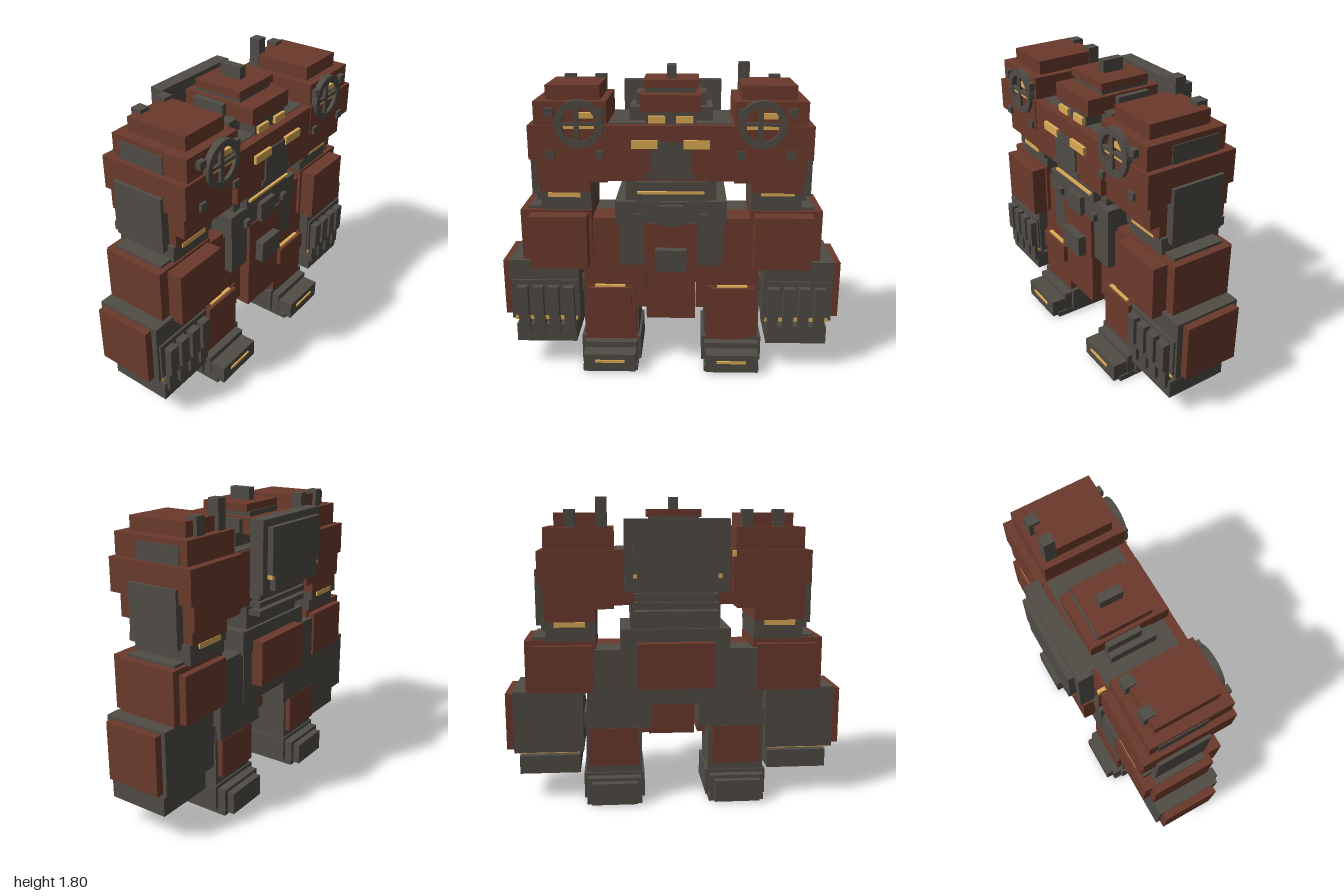
import * as THREE from 'three';

export function createModel() {
  const model = new THREE.Group();
  model.name = 'mech';
  const mat = (name, color) => {
    const m = new THREE.MeshStandardMaterial({ color });
    m.name = name;
    return m;
  };
  const red = mat('rust red', 0x6c3a2c);
  const grey = mat('gunmetal grey', 0x504c46);
  const amber = mat('amber', 0xdcaa54);

  // Box given by its low and high bounds on each axis
  function box(name, m, [x0, x1], [y0, y1], [z0, z1], parent = model) {
    const mesh = new THREE.Mesh(new THREE.BoxGeometry(x1 - x0, y1 - y0, z1 - z0), m);
    mesh.position.set((x0 + x1) / 2, (y0 + y1) / 2, (z0 + z1) / 2);
    mesh.name = name;
    parent.add(mesh);
    return mesh;
  }
  // Box centred on x = 0
  const mid = (name, m, w, y, z) => box(name, m, [-w, w], y, z);
  // Box on both sides, bounds given for +x
  const pair = (name, m, x, y, z) => {
    box(name + 'Left', m, x, y, z);
    box(name + 'Right', m, [-x[1], -x[0]], y, z);
  };

  // Feet
  pair('footSole', grey, [0.2, 0.53], [0, 0.035], [-0.225, 0.305]);
  pair('foot', grey, [0.205, 0.525], [0.03, 0.16], [-0.225, 0.25]);
  pair('footSide', grey, [0.185, 0.545], [0.025, 0.18], [-0.175, 0.2]);
  pair('toe', grey, [0.21, 0.52], [0.015, 0.125], [0.24, 0.345]);
  pair('toeLight', amber, [0.275, 0.45], [0.075, 0.09], [0.34, 0.354]);
  pair('heel', grey, [0.23, 0.5], [0.01, 0.14], [-0.267, -0.19]);

  // Legs
  pair('shinCore', grey, [0.2, 0.53], [0.16, 0.52], [-0.165, 0.16]);
  pair('shin', red, [0.21, 0.52], [0.16, 0.51], [0.04, 0.2]);
  pair('calfPlate', red, [0.22, 0.51], [0.23, 0.46], [-0.198, -0.16]);
  pair('kneePlate', red, [0.24, 0.495], [0.39, 0.505], [0.19, 0.228]);
  pair('kneeLight', amber, [0.275, 0.455], [0.503, 0.516], [0.19, 0.212]);
  pair('kneeFrame', grey, [0.21, 0.54], [0.46, 0.55], [-0.16, 0.15]);
  pair('thigh', red, [0.15, 0.52], [0.37, 0.93], [0, 0.19]);
  pair('thighCore', grey, [0.14, 0.52], [0.46, 0.93], [-0.195, 0.02]);

  // Pelvis and waist
  mid('pelvisCore', grey, 0.3, [0.6, 0.95], [-0.2, 0.17]);
  mid('pelvisPlate', red, 0.155, [0.64, 0.92], [0.1, 0.26]);
  mid('crotchFlap', red, 0.145, [0.325, 0.645], [0.12, 0.25]);
  mid('buckle', grey, 0.09, [0.645, 0.775], [0.25, 0.31]);
  pair('hipPlate', grey, [0.15, 0.3], [0.66, 0.93], [0.1, 0.24]);
  mid('waist', grey, 0.32, [0.91, 1.05], [-0.21, 0.25]);
  mid('waistBlock', grey, 0.07, [0.91, 1.03], [0.25, 0.28]);
  pair('waistRivet', grey, [0.165, 0.207], [0.935, 0.98], [0.245, 0.275]);
  mid('rearPelvisPlate', red, 0.225, [0.71, 0.975], [-0.275, -0.2]);

  // Abdomen
  mid('abdomen', grey, 0.26, [1.04, 1.19], [-0.19, 0.22]);
  mid('abdomenPlate', grey, 0.2, [1.06, 1.17], [0.21, 0.27]);
  mid('abdomenLight', amber, 0.19, [1.104, 1.118], [0.27, 0.286]);

  // Chest
  mid('chest', red, 0.36, [1.19, 1.5], [-0.2, 0.32]);
  mid('chestGuardLow', grey, 0.135, [1.2, 1.23], [0.31, 0.328]);
  mid('chestGuard', grey, 0.11, [1.22, 1.41], [0.31, 0.33]);
  pair('chestLight', amber, [0.07, 0.215], [1.375, 1.422], [0.31, 0.338]);
  mid('collar', grey, 0.34, [1.49, 1.505], [-0.18, 0.265]);

  // Head
  mid('neck', grey, 0.235, [1.5, 1.58], [-0.1, 0.17]);
  mid('headSide', grey, 0.2, [1.53, 1.65], [-0.1, 0.1]);
  mid('face', grey, 0.14, [1.49, 1.57], [0.1, 0.27]);
  mid('head', red, 0.168, [1.565, 1.66], [-0.18, 0.275]);
  mid('headTop', grey, 0.14, [1.65, 1.69], [-0.13, 0.17]);
  mid('crest', red, 0.155, [1.685, 1.73], [-0.12, 0.18]);
  pair('eye', amber, [0.03, 0.125], [1.507, 1.547], [0.265, 0.288]);
  mid('crestFin', grey, 0.025, [1.73, 1.8], [-0.045, 0.085]);

  // Backpack with notched plate and vent slats
  mid('backpackMount', grey, 0.22, [1.2, 1.5], [-0.24, -0.18]);
  mid('backpack', grey, 0.295, [1.275, 1.68], [-0.32, -0.235]);
  mid('backpackPlate', grey, 0.25, [1.38, 1.64], [-0.355, -0.32]);
  mid('backpackPlateLow', grey, 0.225, [1.29, 1.38], [-0.355, -0.32]);
  pair('backpackLight', amber, [0.225, 0.248], [1.355, 1.38], [-0.35, -0.32]);
  for (let i = 0; i < 3; i++) {
    const y = 1.13 + i * 0.05;
    mid('ventSlat' + i, grey, 0.24, [y, y + 0.03], [-0.265, -0.18]);
  }
  // Signal lamp on a post beside the backpack
  box('lampPost', red, [-0.345, -0.325], [1.25, 1.465], [-0.235, -0.19]);
  box('lamp', amber, [-0.345, -0.325], [1.465, 1.5], [-0.235, -0.19]);

  // Shoulders
  pair('shoulderTop', red, [0.39, 0.69], [1.62, 1.71], [-0.12, 0.255]);
  pair('shoulderUpper', red, [0.35, 0.75], [1.49, 1.63], [-0.175, 0.31]);
  pair('shoulderMain', red, [0.345, 0.785], [1.31, 1.5], [-0.222, 0.325]);
  pair('shoulderLower', red, [0.355, 0.755], [1.17, 1.32], [-0.215, 0.285]);
  pair('shoulderVent', grey, [0.74, 0.756], [1.5, 1.6], [-0.125, 0.16]);
  pair('shoulderShield', grey, [0.74, 0.805], [1.07, 1.39], [-0.14, 0.18]);
  for (const [x, top] of [[-0.6, 1.73], [-0.42, 1.73], [0.42, 1.8], [0.6, 1.73]]) {
    box('shoulderStack', grey, [x - 0.032, x + 0.032], [1.62, top], [-0.145, -0.08]);
  }

  // Round shoulder emblems: ring, spokes, lit slots and corner rivets
  const ringShape = new THREE.Shape().absarc(0, 0, 0.132, 0, Math.PI * 2, false);
  ringShape.holes.push(new THREE.Path().absarc(0, 0, 0.095, 0, Math.PI * 2, true));
  const ringGeo = new THREE.ExtrudeGeometry(ringShape, { depth: 0.04, bevelEnabled: false, curveSegments: 16 });
  for (const side of [-1, 1]) {
    const g = new THREE.Group();
    g.name = side > 0 ? 'emblemLeft' : 'emblemRight';
    g.position.set(side * 0.5, 1.51, 0.305);
    const ring = new THREE.Mesh(ringGeo, grey);
    ring.name = 'ring';
    g.add(ring);
    box('spokeAcross', grey, [-0.1, 0.1], [-0.008, 0.01], [0.015, 0.035], g);
    box('spokeUp', grey, [-0.026, 0.002], [-0.1, 0.1], [0.015, 0.035], g);
    box('slotLow', amber, [-0.085, 0.085], [-0.027, -0.008], [0.015, 0.028], g);
    box('slotHigh', amber, [0.002, 0.082], [0.03, 0.062], [0.005, 0.026], g);
    for (const x of [side * 0.162, side * -0.112]) for (const y of [-0.17, 0.064]) {
      box('rivet', grey, [x - 0.022, x + 0.022], [y - 0.022, y + 0.022], [-0.03, 0.036], g);
    }
    model.add(g);
  }

  // Upper arms and elbows
  pair('upperArm', red, [0.46, 0.755], [1.095, 1.18], [-0.2, 0.225]);
  pair('elbowBand', grey, [0.46, 0.77], [1.05, 1.1], [-0.195, 0.22]);
  pair('elbowBase', grey, [0.46, 0.75], [0.98, 1.05], [-0.18, 0.2]);
  box('elbowLightRight', amber, [-0.705, -0.52], [1.067, 1.095], [0.21, 0.228]);
  box('elbowLightLeft', amber, [0.515, 0.705], [1.08, 1.095], [0.21, 0.228]);
  pair('elbowRearLight', amber, [0.52, 0.7], [1.065, 1.095], [-0.204, -0.19]);

  // Forearms
  pair('forearm', red, [0.46, 0.875], [0.67, 0.985], [-0.165, 0.21]);
  pair('forearmCap', grey, [0.47, 0.83], [0.975, 1.0], [-0.14, 0.18]);
  pair('forearmFrontPlate', red, [0.48, 0.815], [0.655, 0.97], [0.2, 0.3]);
  pair('forearmRearPlate', red, [0.48, 0.83], [0.68, 0.955], [-0.208, -0.16]);

  // Fists: the palm block hangs below the fist, held by the fingers
  pair('wrist', grey, [0.53, 0.83], [0.65, 0.692], [-0.14, 0.2]);
  pair('fist', grey, [0.545, 0.955], [0.31, 0.68], [-0.165, 0.235]);
  pair('knuckles', grey, [0.555, 0.94], [0.333, 0.56], [0.22, 0.247]);
  pair('fistGlow', amber, [0.56, 0.935], [0.305, 0.333], [0.22, 0.245]);
  pair('fistRearGlow', amber, [0.57, 0.93], [0.302, 0.311], [-0.155, -0.13]);
  pair('palm', grey, [0.57, 0.93], [0.165, 0.275], [-0.12, 0.25]);
  pair('fistOuterPlate', red, [0.95, 1], [0.325, 0.665], [-0.14, 0.2]);
  for (let i = 0; i < 4; i++) {
    const x = 0.573 + i * 0.091;
    pair('finger' + i, grey, [x, x + 0.064], [0.35, 0.53], [0.23, 0.29]);
    pair('fingertip' + i, grey, [x, x + 0.064], [0.23, 0.36], [0.2, 0.27]);
  }
  return model;
}
